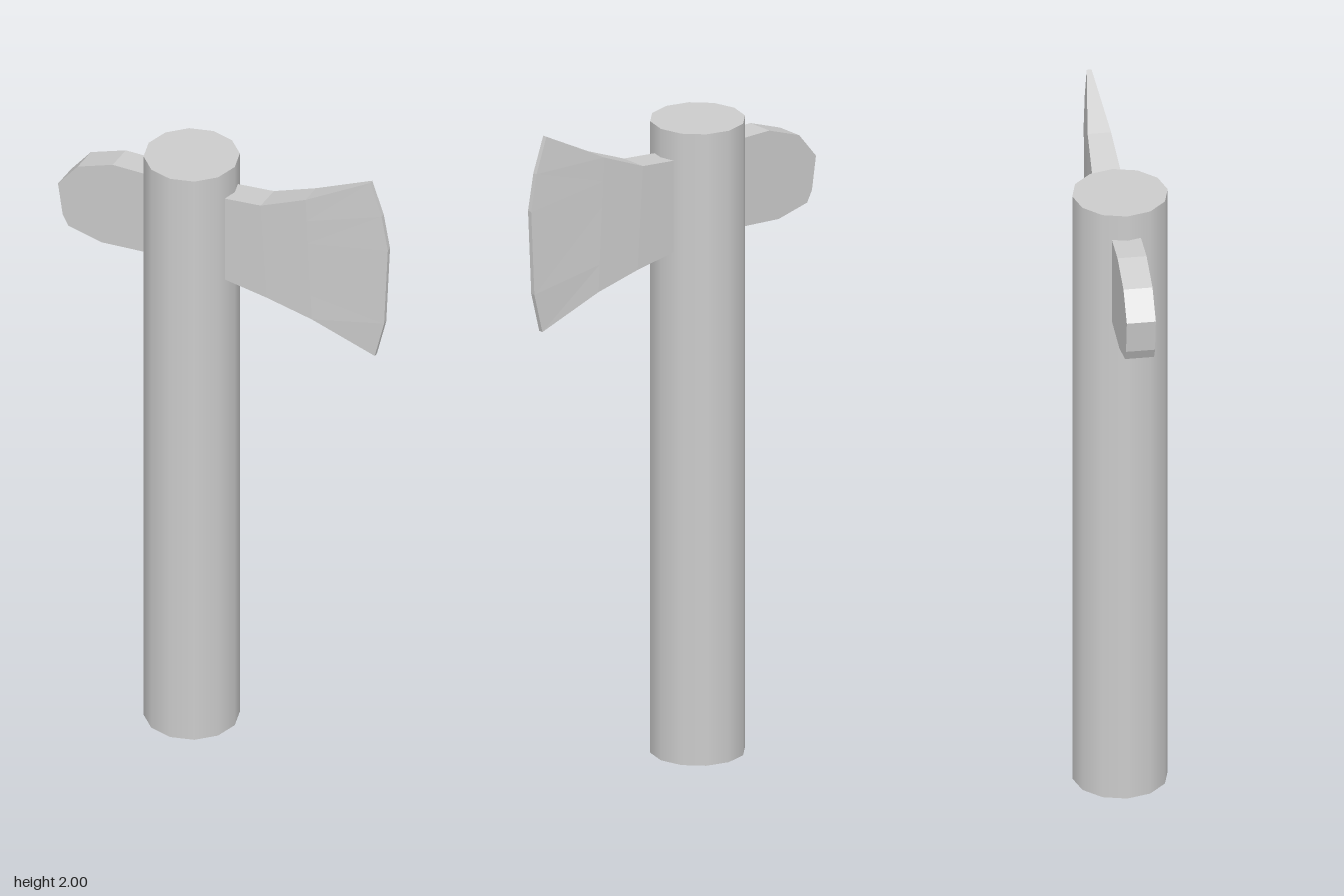
import * as THREE from 'three';

const HALF = 0.042; // half thickness of the axe head

// Handle: 12-sided shaft with smooth sides
function handleGeometry() {
  const geo = new THREE.CylinderGeometry(0.138, 0.138, 1.92, 12);
  return geo.translate(-0.112, 0.96, 0);
}

// Poll: flat rounded slab behind the handle
function pollGeometry() {
  const outline = [
    [-0.235, 1.84], [-0.345, 1.84], [-0.457, 1.8], [-0.52, 1.723], [-0.505, 1.622],
    [-0.487, 1.588], [-0.38, 1.563], [-0.235, 1.572],
  ].map(([x, y]) => new THREE.Vector2(x, y));
  const geo = new THREE.ExtrudeGeometry(new THREE.Shape(outline), { depth: 2 * HALF, bevelEnabled: false });
  return geo.translate(0, 0, -HALF - 0.001);
}

// Blade: flaring columns from the handle to a thin curved cutting edge
function bladeGeometry() {
  const columns = [
    { bottom: [0.01, 1.555], top: [0.01, 1.832], half: HALF },
    { bottom: [0.15, 1.532], top: [0.13, 1.843], half: HALF },
    { bottom: [0.29, 1.495], top: [0.27, 1.9], half: 0.034 },
  ];
  const edge = [[0.478, 1.41], [0.508, 1.53], [0.52, 1.785], [0.5, 1.895], [0.463, 2]];
  const rows = edge.map(([, y]) => (y - 1.41) / 0.59);

  const geo = new THREE.BoxGeometry(3, 4, 2, 3, 4, 1);
  const pos = geo.attributes.position;
  for (let k = 0; k < pos.count; k++) {
    const i = Math.round(pos.getX(k) + 1.5);
    const j = Math.round(pos.getY(k) + 2);
    const side = Math.sign(pos.getZ(k));
    if (i === 3) {
      pos.setXYZ(k, edge[j][0], edge[j][1], side * 0.007 - 0.001);
    } else {
      const { bottom, top, half } = columns[i];
      const x = THREE.MathUtils.lerp(bottom[0], top[0], rows[j]);
      const y = THREE.MathUtils.lerp(bottom[1], top[1], rows[j]);
      pos.setXYZ(k, x, y, side * half - 0.001);
    }
  }
  geo.computeVertexNormals();
  return geo;
}

export function createModel() {
  const group = new THREE.Group();
  group.name = 'axe';
  const smooth = new THREE.MeshStandardMaterial({ color: 0xcccccc });
  const flat = new THREE.MeshStandardMaterial({ color: 0xcccccc, flatShading: true });

  const add = (name, geometry, material) => {
    const mesh = new THREE.Mesh(geometry, material);
    mesh.name = name;
    group.add(mesh);
  };
  add('handle', handleGeometry(), smooth);
  add('poll', pollGeometry(), flat);
  add('blade', bladeGeometry(), flat);
  return group;
}
